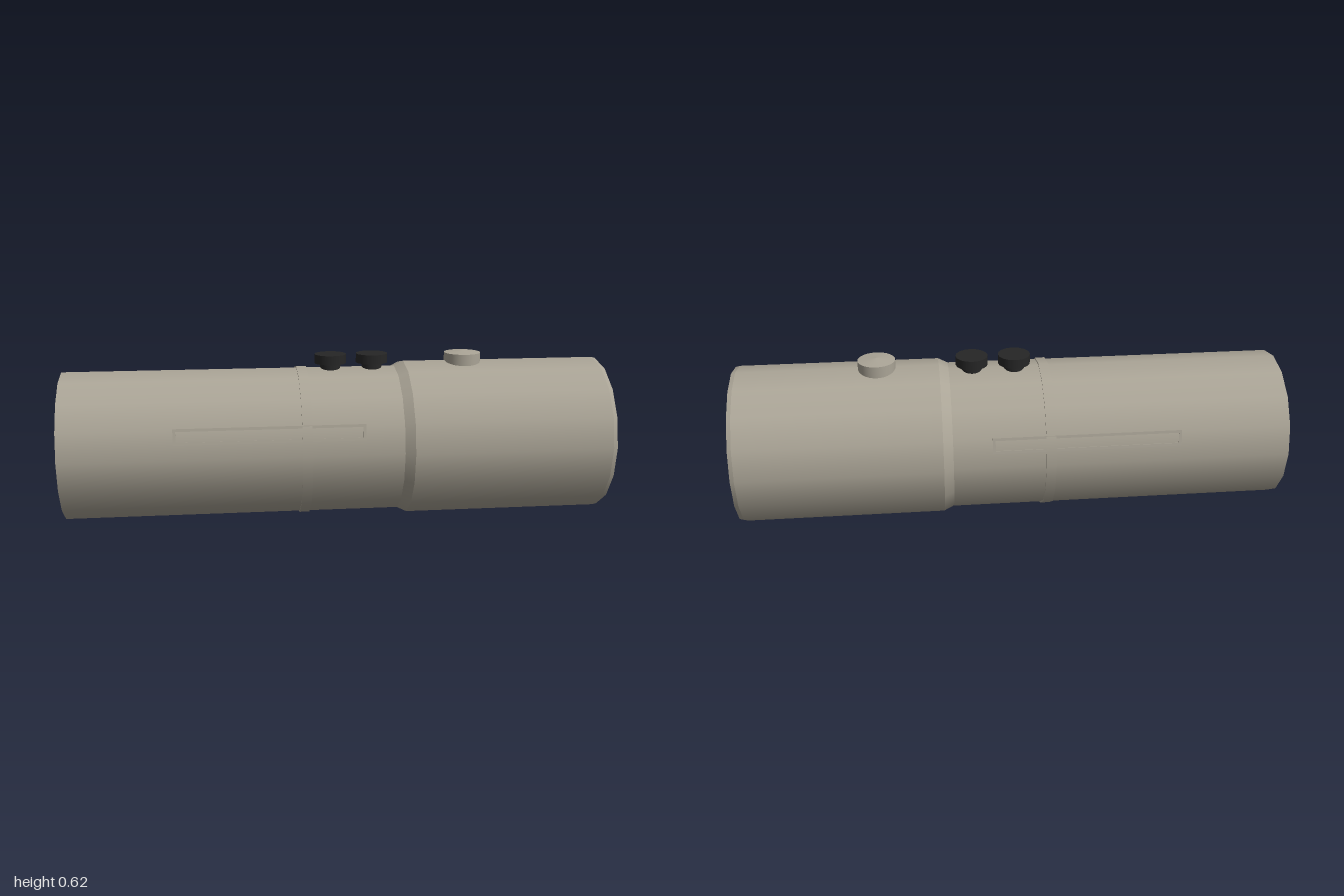
import * as THREE from 'three';

const SIDES = 16;
const CENTRE_Y = 0.291;

export function createModel() {
  const metal = new THREE.MeshStandardMaterial({ color: 0xaaa496, side: THREE.DoubleSide });
  metal.name = 'warm grey metal';
  const black = new THREE.MeshStandardMaterial({ color: 0x262626 });
  black.name = 'black plastic';

  const model = new THREE.Group();
  model.name = 'tube';

  const add = (parent, name, geometry, material, x = 0, y = 0, z = 0) => {
    const mesh = new THREE.Mesh(geometry, material);
    mesh.name = name;
    mesh.position.set(x, y, z);
    parent.add(mesh);
    return mesh;
  };

  // One ring of faces along the x axis, between two [x, radius] points
  const band = (name, [x0, r0], [x1, r1]) => {
    const points = [new THREE.Vector2(r0, x0), new THREE.Vector2(r1, x1)];
    const geometry = new THREE.LatheGeometry(points, SIDES).rotateZ(-Math.PI / 2);
    add(model, name, geometry, metal, 0, CENTRE_Y, 0);
  };
  const profile = (name, points) => {
    for (let i = 0; i < points.length - 1; i++) band(name, points[i], points[i + 1]);
  };

  // Thin rear tube, flaring into the thicker front sleeve with a rolled lip
  profile('barrel', [
    [-1, 0.272], [0.22, 0.272], [0.255, 0.289], [0.985, 0.289],
    [1, 0.285], [1, 0.274], [0.22, 0.2715],
  ]);

  // Raised clamp ring
  profile('clampRing', [
    [-0.147, 0.27], [-0.147, 0.277], [-0.111, 0.277], [-0.111, 0.27],
  ]);

  // Slide rail on each side, lying on the facet just above the middle
  const tilt = Math.PI / SIDES;
  const railX = -0.26, railY = 0.029, length = 0.68, height = 0.058, rim = 0.01;
  for (const side of [1, -1]) {
    const rail = new THREE.Group();
    rail.name = side > 0 ? 'frontRail' : 'backRail';
    rail.position.y = CENTRE_Y;
    rail.rotation.x = -side * tilt;
    model.add(rail);
    add(rail, 'railBar', new THREE.BoxGeometry(length, height, 0.013), metal,
      railX, railY, side * 0.2595);
    for (const s of [1, -1]) {
      add(rail, 'railLongRim', new THREE.BoxGeometry(length, rim, 0.008), metal,
        railX, railY + s * (height - rim) / 2, side * 0.267);
      add(rail, 'railEndRim', new THREE.BoxGeometry(rim, height - 2 * rim, 0.008), metal,
        railX + s * (length - rim) / 2, railY, side * 0.267);
    }
  }

  // Two black knobs on stems that pass through the wall
  for (const x of [-0.02, 0.135]) {
    const knob = new THREE.Group();
    knob.name = 'knob';
    knob.position.x = x;
    model.add(knob);
    add(knob, 'knobStem', new THREE.CylinderGeometry(0.038, 0.038, 0.06, 16), black, 0, 0.55, 0);
    add(knob, 'knobCap', new THREE.CylinderGeometry(0.059, 0.059, 0.034, 16), black, 0, 0.595, 0);
  }

  // Round button with a shallow domed top
  const button = new THREE.Group();
  button.name = 'button';
  button.position.x = 0.48;
  model.add(button);
  add(button, 'buttonSide', new THREE.CylinderGeometry(0.068, 0.068, 0.043, 32, 1, true), metal, 0, 0.5875, 0);
  add(button, 'buttonTop', new THREE.ConeGeometry(0.068, 0.008, 32, 1, true), metal, 0, 0.613, 0);

  return model;
}
